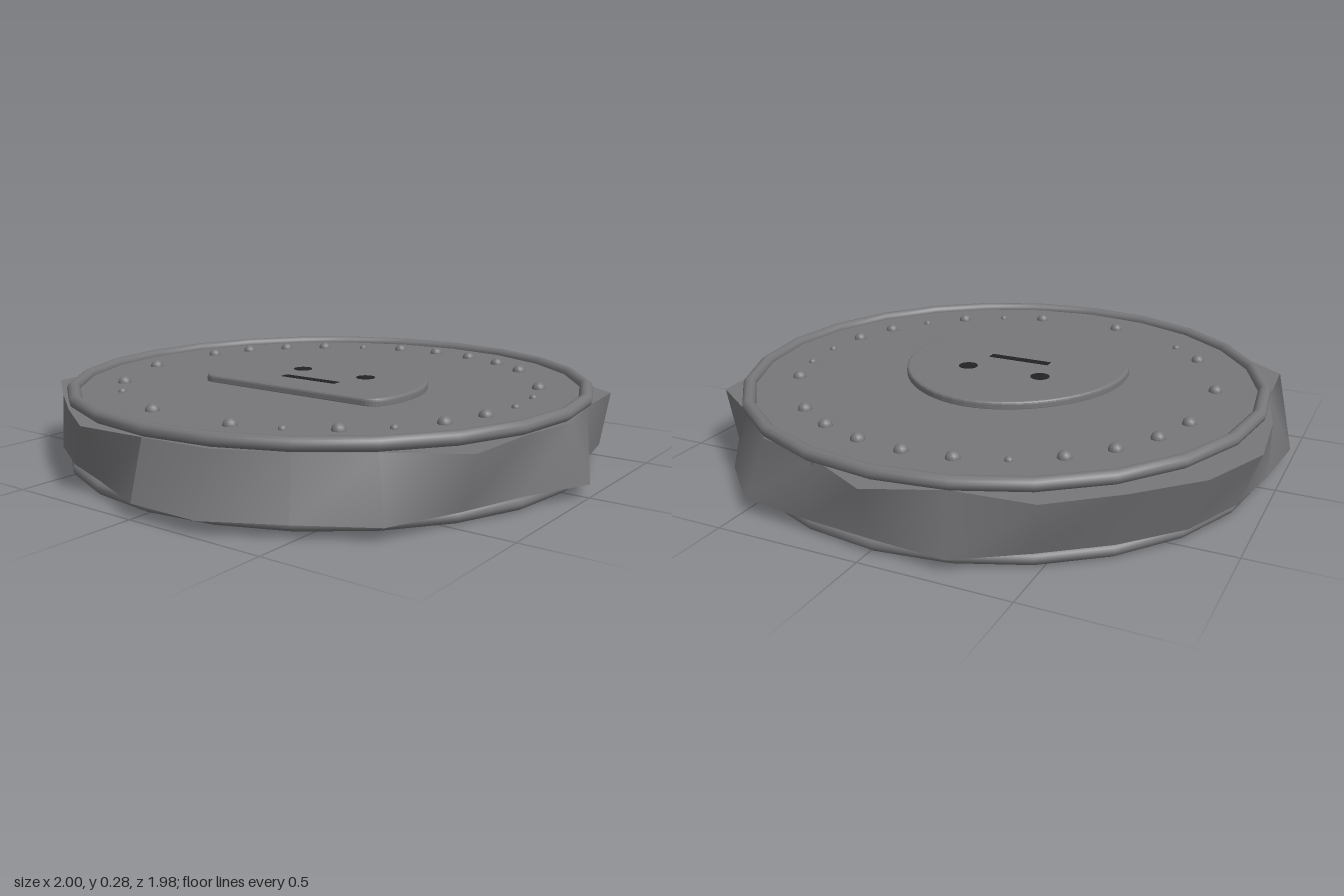
import * as THREE from 'three';

const metal = new THREE.MeshStandardMaterial({ color: 0x77777a });
const metalBoth = new THREE.MeshStandardMaterial({ color: 0x77777a, side: THREE.DoubleSide });
const dark = new THREE.MeshStandardMaterial({ color: 0x222224 });

function add(parent, name, geometry, x = 0, y = 0, z = 0, material = metal) {
  const mesh = new THREE.Mesh(geometry, material);
  mesh.name = name;
  mesh.position.set(x, y, z);
  parent.add(mesh);
  return mesh;
}

// Point on a circle, measured clockwise from the back as seen from above
const around = (t, r, y) => new THREE.Vector3(Math.sin(t) * r, y, -Math.cos(t) * r);

// Irregular outer band: one radius per 15 degrees for its upper and lower edge
const upper = [0.99, 0.90, 0.93, 0.92, 1.0, 0.92, 0.94, 0.93, 1.02, 0.93, 0.93, 0.94,
  0.93, 0.98, 0.94, 0.95, 1.02, 0.93, 0.96, 1.02, 1.02, 0.99, 1.0, 0.92];
const lower = [0.93, 0.94, 1.01, 0.98, 0.97, 0.92, 1.01, 0.93, 0.95, 1.02, 0.99, 1.02,
  0.985, 0.92, 0.93, 0.96, 0.93, 1.02, 0.96, 0.95, 0.95, 0.93, 0.93, 0.98];

function bandGeometry(topY, bottomY) {
  const n = upper.length;
  const geometry = new THREE.CylinderGeometry(1, 1, 1, n, 1);
  const p = geometry.attributes.position;
  for (let i = 0; i < p.count; i++) {
    const isTop = p.getY(i) > 0;
    const y = isTop ? topY : bottomY;
    if (Math.hypot(p.getX(i), p.getZ(i)) < 0.1) {
      p.setXYZ(i, 0, y, 0);
      continue;
    }
    const t = Math.atan2(p.getX(i), -p.getZ(i));
    const k = (Math.round(t / (Math.PI * 2) * n) + n) % n;
    const v = around(t, (isTop ? upper : lower)[k], y);
    p.setXYZ(i, v.x, v.y, v.z);
  }
  geometry.computeVertexNormals();
  return geometry;
}

// Ring of rivets: B large, s small, - missing
function rivets(parent, name, pattern, start, y) {
  const ring = new THREE.Group();
  ring.name = name;
  [...pattern].forEach((kind, i) => {
    if (kind === '-') return;
    const v = around(start + i * Math.PI * 2 / pattern.length, 0.745, y);
    add(ring, 'rivet', new THREE.SphereGeometry(kind === 'B' ? 0.024 : 0.014, 14, 10), v.x, v.y, v.z);
  });
  parent.add(ring);
}

// Dome-shaped plate with a flat front edge and rounded corners
function badgeGeometry() {
  const s = new THREE.Shape();
  s.moveTo(-0.33, -0.26);
  s.lineTo(0.33, -0.26);
  s.bezierCurveTo(0.38, -0.26, 0.398, -0.2, 0.398, -0.1);
  s.bezierCurveTo(0.395, 0.12, 0.2, 0.325, 0, 0.325);
  s.bezierCurveTo(-0.2, 0.325, -0.395, 0.12, -0.398, -0.1);
  s.bezierCurveTo(-0.398, -0.2, -0.38, -0.26, -0.33, -0.26);
  const geometry = new THREE.ExtrudeGeometry(s, {
    depth: 0.014, bevelThickness: 0.01, bevelSize: 0.01, bevelSegments: 3, curveSegments: 14,
  });
  return geometry.rotateX(-Math.PI / 2);
}

export function createModel() {
  const root = new THREE.Group();
  root.name = 'disc';
  const body = new THREE.Group();
  body.name = 'body';
  body.position.x = -0.01;
  root.add(body);

  add(body, 'outerBand', bandGeometry(0.235, 0.045), 0, 0, 0, metalBoth);
  add(body, 'drum', new THREE.CylinderGeometry(0.905, 0.905, 0.23, 24), 0, 0.14, 0);

  // Rims
  for (const [name, y] of [['topRim', 0.256], ['bottomRim', 0.024]]) {
    add(body, name, new THREE.TorusGeometry(0.913, 0.023, 10, 24).rotateX(Math.PI / 2), 0, y, 0);
  }

  // Rivets on both faces
  rivets(body, 'topRivets', 'BBBB-BssBBsBsB-B-sB-B-BBBBsB', 0, 0.255);
  rivets(body, 'bottomRivets', 'BBB-BB-BBBBBBBBBB-BsBB-B-BsB', -0.95, 0.025);

  // Face plate
  const face = new THREE.Group();
  face.name = 'facePlate';
  body.add(face);
  add(face, 'plate', badgeGeometry(), 0, 0.257, 0);
  for (const side of [-1, 1]) {
    add(face, 'eye', new THREE.CylinderGeometry(0.034, 0.034, 0.01, 24), side * 0.142, 0.278, -0.02, dark);
  }
  add(face, 'mouth', new THREE.BoxGeometry(0.235, 0.01, 0.032), 0, 0.278, 0.122, dark);
  return root;
}
